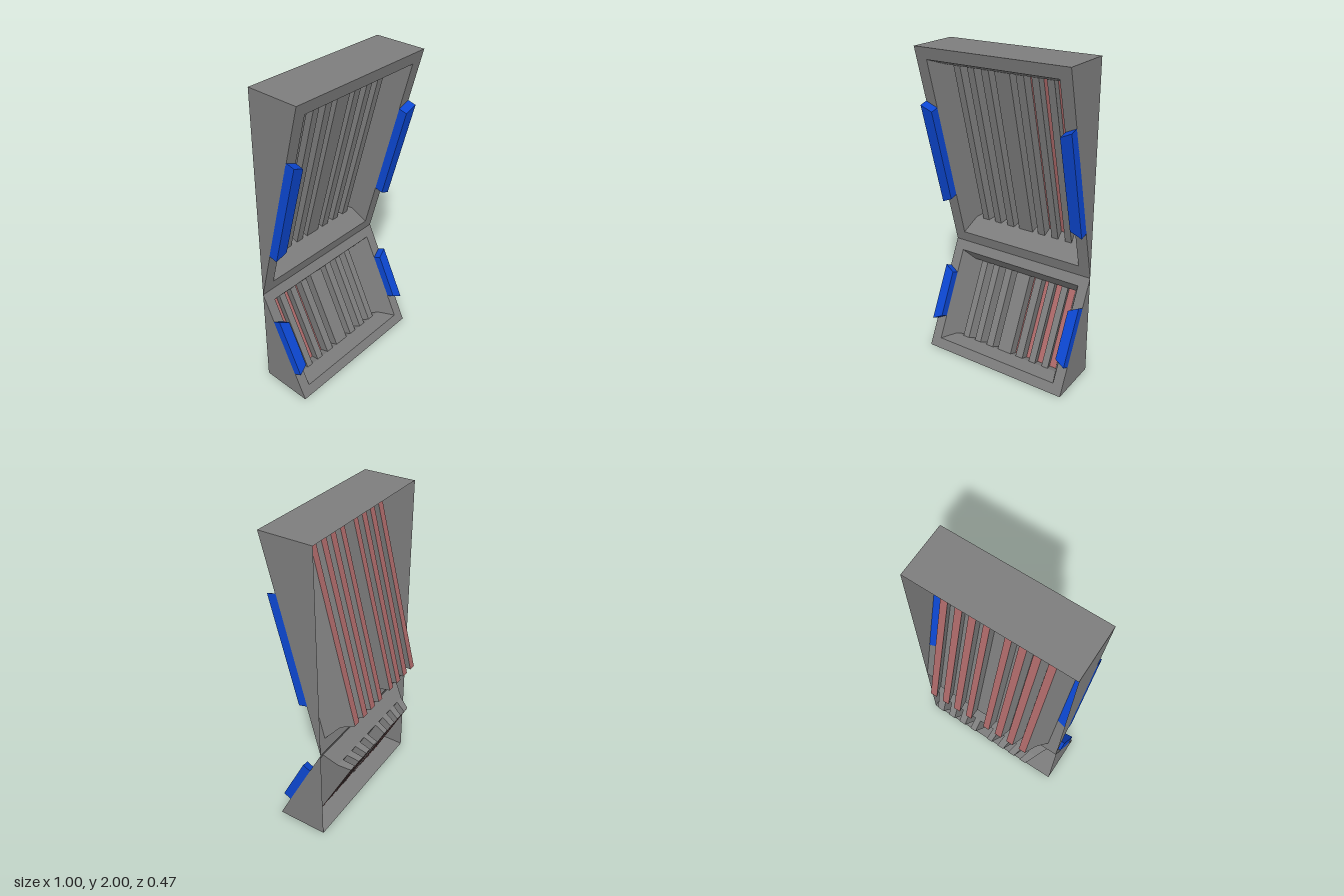
import * as THREE from 'three';

const paint = color => new THREE.MeshStandardMaterial({ color, side: THREE.DoubleSide });
const grey = paint(0x7d7d7d);
const red = paint(0xac6868);
const blue = paint(0x0c47d2);

const BACK = -0.095, FRONT = 0.237, HINGE = 0.667;
const FLOOR = -0.103, DEEP = -0.181; // tray floor and groove bottom depths

// Mesh from a list of flat polygons (each 3 or 4 corners)
function polyMesh(name, polys, material) {
  const pos = [];
  for (const p of polys)
    for (let i = 1; i < p.length - 1; i++) pos.push(...p[0], ...p[i], ...p[i + 1]);
  const geo = new THREE.BufferGeometry();
  geo.setAttribute('position', new THREE.Float32BufferAttribute(pos, 3));
  geo.computeVertexNormals();
  const mesh = new THREE.Mesh(geo, material);
  mesh.name = name;
  return mesh;
}

// Open-backed wedge: two triangular cheeks and one horizontal end, facing outward
function wedgeShell(name, yEnd) {
  const up = yEnd > HINGE;
  const cheek = x => [[x, yEnd, FRONT], [x, yEnd, BACK], [x, HINGE, BACK]];
  const end = [[-0.5, yEnd, FRONT], [0.5, yEnd, FRONT], [0.5, yEnd, BACK], [-0.5, yEnd, BACK]];
  const left = cheek(0.5), right = cheek(-0.5).reverse();
  const faces = up ? [left.reverse(), right.reverse(), end] : [left, right, end.reverse()];
  return polyMesh(name, faces, grey);
}

// Sloped front frame with a rectangular opening
function frontFrame(L, m, w) {
  const rect = (S, x, a, b) => {
    const s = new S();
    s.moveTo(-x, a); s.lineTo(x, a); s.lineTo(x, b); s.lineTo(-x, b); s.closePath();
    return s;
  };
  const shape = rect(THREE.Shape, 0.5, 0, L);
  shape.holes.push(rect(THREE.Path, w, m, L - m));
  const mesh = new THREE.Mesh(new THREE.ShapeGeometry(shape), grey);
  mesh.name = 'frontFrame';
  return mesh;
}

// Recessed tray with four slanted grooves on each side, red at their bottoms
function tray(L, m, inset, w) {
  const g = new THREE.Group();
  g.name = 'groovedTray';
  const a = m + inset, b = L - m - inset;
  const w1 = w + (0.35 - w) * FLOOR / DEEP;
  // mouth start, bottom start, bottom end, mouth end
  const grooves = [
    [0.05, 0.045, 0.085, 0.09],
    [0.14, 0.13, 0.175, 0.19],
    [0.235, 0.215, 0.26, 0.285],
    [0.33, 0.305, 0.35, w1],
  ];
  const walls = [], strips = [];
  for (const s of [-1, 1]) {
    const strip = (x0, z0, x1, z1) =>
      [[s * x0, a, z0], [s * x1, a, z1], [s * x1, b, z1], [s * x0, b, z0]];
    let ridge = 0;
    for (const [p, q, r, t] of grooves) {
      walls.push(strip(ridge, FLOOR, p, FLOOR), strip(p, FLOOR, q, DEEP), strip(r, DEEP, t, FLOOR));
      strips.push(strip(q, DEEP, r, DEEP));
      for (const y of [a, b])
        walls.push([[s * p, y, FLOOR], [s * q, y, DEEP], [s * r, y, DEEP], [s * t, y, FLOOR]]);
      ridge = t;
    }
    // sloping side wall
    walls.push([[s * w1, a, FLOOR], [s * w, m, 0], [s * w, L - m, 0], [s * w1, b, FLOOR]]);
  }
  // sloping end walls
  for (const [o, f] of [[m, a], [L - m, b]])
    walls.push([[-w, o, 0], [w, o, 0], [w1, f, FLOOR], [-w1, f, FLOOR]]);
  g.add(polyMesh('trayWalls', walls, grey), polyMesh('grooveStrips', strips, red));
  return g;
}

// Raised side bar with mitred ends, let slightly into the frame so its base shows behind
function sideBar(side, L, half, inner) {
  const c = L / 2, sink = 0.003;
  const shape = new THREE.Shape([
    [0.5, c - half], [0.5, c + half], [inner, c + half - 0.035], [inner, c - half + 0.035],
  ].map(([x, y]) => new THREE.Vector2(side * x, y)));
  const geo = new THREE.ExtrudeGeometry(shape, { depth: 0.055 + sink, bevelEnabled: false });
  const mesh = new THREE.Mesh(geo.translate(0, 0, -sink), blue);
  mesh.name = side > 0 ? 'leftBar' : 'rightBar';
  return mesh;
}

// Everything lying on one sloped face; local y runs up the slope
function slopedPanel(name, L, margin, inset, w, barHalf) {
  const g = new THREE.Group();
  g.name = name;
  g.add(frontFrame(L, margin, w), tray(L, margin, inset, w));
  for (const s of [-1, 1]) g.add(sideBar(s, L, barHalf, w));
  return g;
}

export function createModel() {
  const model = new THREE.Group();
  model.name = 'foldedPanels';
  const depth = FRONT - BACK, rise = 2 - HINGE;

  // Upper wedge leans forward from the hinge
  const upper = slopedPanel('upperPanel', Math.hypot(depth, rise), 0.074, 0.068, 0.427, 0.345);
  upper.position.set(0, HINGE, BACK);
  upper.rotation.x = Math.atan2(depth, rise);

  // Lower wedge leans back up to the hinge
  const lower = slopedPanel('lowerPanel', Math.hypot(depth, HINGE), 0.065, 0.045, 0.435, 0.186);
  lower.position.set(0, 0, FRONT);
  lower.rotation.x = -Math.atan2(depth, HINGE);

  model.add(wedgeShell('upperShell', 2), wedgeShell('lowerShell', 0), upper, lower);
  return model;
}
